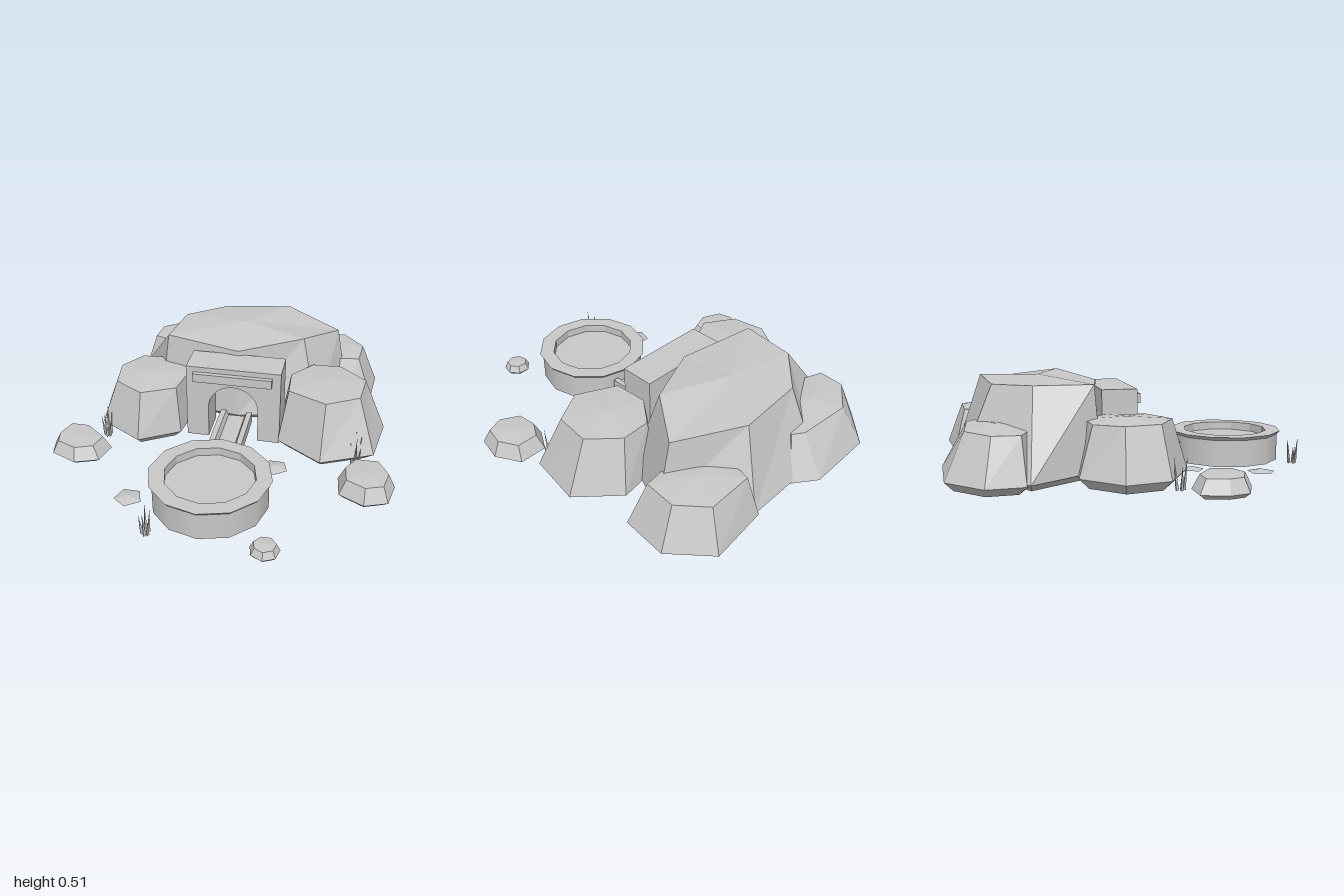
import * as THREE from 'three';

const stone = new THREE.MeshStandardMaterial({ color: 0xc8c8c8, side: THREE.DoubleSide });
stone.name = 'stone grey';

function add(parent, name, geometry, x = 0, y = 0, z = 0) {
  const mesh = new THREE.Mesh(geometry, stone);
  mesh.name = name;
  mesh.position.set(x, y, z);
  parent.add(mesh);
  return mesh;
}

// Faceted normals for low-poly parts
function faceted(geometry) {
  const g = geometry.toNonIndexed();
  g.computeVertexNormals();
  return g;
}

// Faceted boulder, open below: inset foot, wide skirt ring, narrower shoulder ring, low apex.
// Each row is [skirtX, skirtZ, shoulderX, shoulderZ, shoulderY]; the last three may be left out.
function rockGeometry(rows, { skirtY, topY, apexY, apex, topScale = 0.75, footScale = 0.8 }) {
  const n = rows.length;
  const cx = rows.reduce((s, r) => s + r[0], 0) / n;
  const cz = rows.reduce((s, r) => s + r[1], 0) / n;
  const sorted = [...rows].sort((a, b) =>
    Math.atan2(a[0] - cx, a[1] - cz) - Math.atan2(b[0] - cx, b[1] - cz));
  const scaled = (r, s, y) => [cx + (r[0] - cx) * s, y, cz + (r[1] - cz) * s];
  const foot = sorted.map(r => scaled(r, footScale, 0));
  const skirt = sorted.map(r => [r[0], skirtY, r[1]]);
  const top = sorted.map(r => r.length > 2 ? [r[2], r[4] ?? topY, r[3]] : scaled(r, topScale, topY));
  const mean = k => top.reduce((s, p) => s + p[k], 0) / n;
  const peak = apex ? [apex[0], apexY, apex[1]] : [mean(0), apexY, mean(2)];
  const out = [];
  for (let i = 0; i < n; i++) {
    const j = (i + 1) % n;
    for (const [a, b] of [[foot, skirt], [skirt, top]]) {
      out.push(...a[i], ...a[j], ...b[j], ...a[i], ...b[j], ...b[i]);
    }
    out.push(...top[i], ...top[j], ...peak);
  }
  const g = new THREE.BufferGeometry();
  g.setAttribute('position', new THREE.Float32BufferAttribute(out, 3));
  g.computeVertexNormals();
  return g;
}

// Tuft of thin three-sided blades leaning outwards
function grassTuft(parent, name, x, z, height) {
  const tuft = new THREE.Group();
  tuft.name = name;
  tuft.position.set(x, 0, z);
  for (let i = 0; i < 5; i++) {
    const a = i * 2.4, h = height * (1 - 0.13 * (i % 4));
    const g = faceted(new THREE.ConeGeometry(0.01, h, 3));
    g.translate(0, h / 2, 0);
    const blade = add(tuft, 'grassBlade', g, 0.018 * Math.sin(a), 0, 0.018 * Math.cos(a));
    blade.rotation.set(0.1 * Math.cos(a), 0, -0.1 * Math.sin(a));
  }
  parent.add(tuft);
}

const lathe = points => new THREE.LatheGeometry(points.map(p => new THREE.Vector2(...p)), 12);

export function createModel() {
  const model = new THREE.Group();
  model.name = 'rockSpring';

  // Central mound
  add(model, 'mainMound', rockGeometry([
    [0.02, -0.14, 0.015, -0.165, 0.467],
    [0.47, -0.24, 0.365, -0.33, 0.5],
    [0.62, -0.57, 0.545, -0.575, 0.455],
    [0.3, -0.92, 0.225, -0.78, 0.49],
    [-0.2, -0.91, -0.165, -0.74, 0.475],
    [-0.695, -0.6, -0.375, -0.55, 0.485],
    [-0.46, -0.22, -0.41, -0.25, 0.488],
  ], { skirtY: 0.06, topY: 0.48, apexY: 0.505, apex: [0.01, -0.485] }));

  // Four boulders around the mound
  add(model, 'frontRightBoulder', rockGeometry([
    [-0.48, 0.215, -0.475, 0.135],
    [-0.265, 0.085, -0.295, 0.045],
    [-0.235, -0.155, -0.265, -0.165],
    [-0.36, -0.34, -0.4, -0.3],
    [-0.59, -0.36, -0.58, -0.29],
    [-0.77, -0.17, -0.67, -0.15],
    [-0.73, 0.065, -0.64, 0.035],
  ], { skirtY: 0.055, topY: 0.315, apexY: 0.335 }));
  add(model, 'frontLeftBoulder', rockGeometry([
    [0.535, 0.235, 0.54, 0.115],
    [0.815, 0.105, 0.715, 0.015],
    [0.86, -0.195, 0.735, -0.18],
    [0.655, -0.385, 0.59, -0.315],
    [0.4, -0.35, 0.43, -0.31],
    [0.27, -0.15, 0.32, -0.17],
    [0.285, 0.065, 0.33, 0.015],
  ], { skirtY: 0.055, topY: 0.35, apexY: 0.365 }));
  add(model, 'backRightBoulder', rockGeometry([
    [-0.685, -0.81, -0.59, -0.77],
    [-0.5, -0.99, -0.43, -0.89],
    [-0.115, -1.0, -0.13, -0.87],
    [0.01, -0.91, -0.07, -0.83],
    [-0.05, -0.6, -0.15, -0.62],
    [-0.4, -0.5, -0.38, -0.55],
    [-0.675, -0.615, -0.6, -0.63],
  ], { skirtY: 0.05, topY: 0.28, apexY: 0.3 }));
  add(model, 'backLeftBoulder', rockGeometry([
    [0.285, -0.93, 0.32, -0.87],
    [0.615, -0.965, 0.575, -0.88],
    [0.79, -0.765, 0.695, -0.74],
    [0.77, -0.515, 0.68, -0.565],
    [0.58, -0.46, 0.55, -0.55],
    [0.3, -0.52, 0.36, -0.57],
    [0.22, -0.72, 0.29, -0.72],
  ], { skirtY: 0.05, topY: 0.28, apexY: 0.295 }));

  // Loose stones
  add(model, 'rightStone', rockGeometry([
    [-0.94, 0.28], [-0.9, 0.145], [-0.77, 0.145], [-0.615, 0.27],
    [-0.645, 0.4], [-0.77, 0.447], [-0.915, 0.385],
  ], { skirtY: 0.025, topY: 0.095, apexY: 0.1 }));
  add(model, 'leftStone', rockGeometry([
    [0.705, 0.2], [0.86, 0.2], [0.935, 0.335], [0.905, 0.48],
    [0.785, 0.525], [0.655, 0.455], [0.64, 0.315],
  ], { skirtY: 0.03, topY: 0.11, apexY: 0.12 }));
  const pebble = Array.from({ length: 7 }, (_, i) => {
    const a = i * Math.PI * 2 / 7;
    return [0.35 + 0.075 * Math.sin(a), 0.925 + 0.075 * Math.cos(a)];
  });
  add(model, 'frontPebble', rockGeometry(pebble, { skirtY: 0.016, topY: 0.053, apexY: 0.058 }));

  // Flat five-sided pebbles
  for (const [x, z, r] of [[-0.265, 0.31, 0.066], [0.3, 0.245, 0.07], [-0.4, 0.65, 0.075]]) {
    add(model, 'flatPebble', faceted(new THREE.ConeGeometry(r, 0.016, 5)), x, 0.008, z);
  }

  // Arched portal with a through opening
  const portal = new THREE.Shape();
  portal.moveTo(-0.265, 0);
  portal.lineTo(-0.14, 0);
  portal.lineTo(-0.14, 0.19);
  portal.absarc(0, 0.19, 0.14, Math.PI, 0, true);
  portal.lineTo(0.14, 0);
  portal.lineTo(0.265, 0);
  portal.lineTo(0.265, 0.44);
  portal.lineTo(-0.265, 0.44);
  portal.closePath();
  add(model, 'archPortal', new THREE.ExtrudeGeometry(portal,
    { depth: 0.19, bevelEnabled: false, curveSegments: 10 }), 0.02, 0, -0.18);
  add(model, 'lintelBar', new THREE.BoxGeometry(0.44, 0.05, 0.035), 0.017, 0.385, 0.02);

  // Water channel from the portal to the basin: a floor between rails with sloped inner faces
  const channelZ = 0.1, channelLength = 0.4;
  add(model, 'channelFloor', new THREE.BoxGeometry(0.11, 0.015, channelLength), 0.02, 0.076, channelZ);
  for (const side of [-1, 1]) {
    const rail = new THREE.Shape([[0.09, 0.05], [0.09, 0.115], [0.06, 0.115], [0.045, 0.08], [0.045, 0.05]]
      .map(([x, y]) => new THREE.Vector2(side * x, y)));
    add(model, 'channelRail', new THREE.ExtrudeGeometry(rail,
      { depth: channelLength, bevelEnabled: false }), 0.02, 0, channelZ - channelLength / 2);
  }

  // Round basin: open wall, flared rim and sunken surface
  add(model, 'basinWall', lathe([[0.3, 0], [0.3, 0.148]]), 0.018, 0, 0.592);
  add(model, 'basinRim', faceted(lathe([[0.3, 0.146], [0.317, 0.165], [0.235, 0.165], [0.235, 0.12]])),
    0.018, 0, 0.592);
  add(model, 'basinWater', faceted(lathe([[0.3, 0.12], [0, 0.12]])), 0.018, 0, 0.592);

  // Grass
  grassTuft(model, 'frontGrass', -0.235, 0.9, 0.15);
  grassTuft(model, 'rightGrass', -0.69, 0.115, 0.17);
  grassTuft(model, 'leftGrass', 0.72, 0.13, 0.2);

  return model;
}
